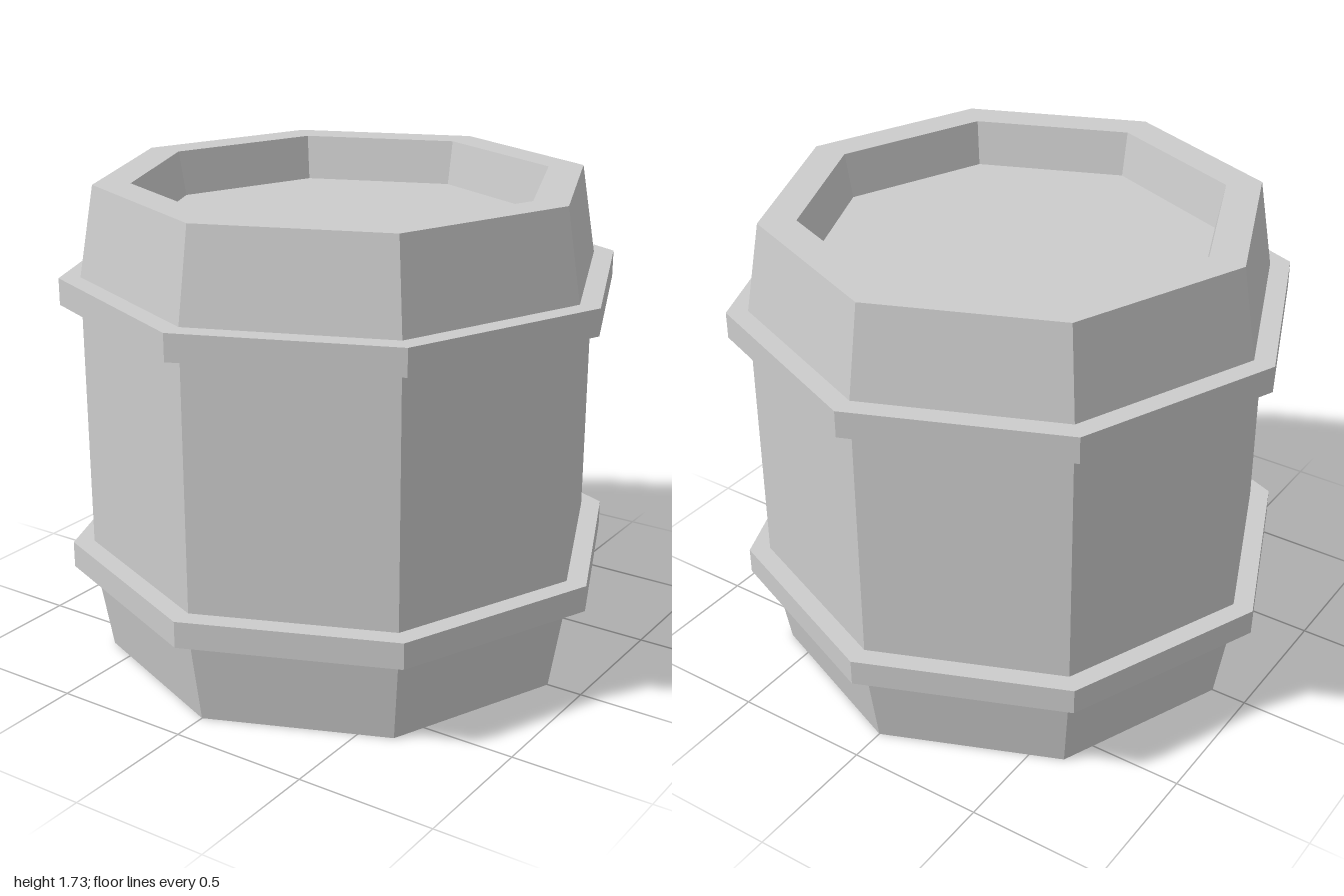
import * as THREE from 'three';

const SIDES = 8;

export function createModel() {
  const model = new THREE.Group();
  model.name = 'barrel';
  const material = new THREE.MeshStandardMaterial({ color: 0xcccccc, flatShading: true });

  // Turn a [radius, height] profile into an eight-sided part
  const turned = (name, profile) => {
    const points = profile.map(([r, y]) => new THREE.Vector2(r, y));
    const mesh = new THREE.Mesh(new THREE.LatheGeometry(points, SIDES), material);
    mesh.name = name;
    model.add(mesh);
  };

  // Staved body: base, tapered ends, rim and recessed lid
  turned('body', [
    [0, 0], [0.87, 0], [0.925, 0.325], [0.925, 1.41],
    [0.87, 1.73], [0.74, 1.73], [0.71, 1.57], [0, 1.57],
  ]);

  // Hoops at the ends of the straight section
  const hoop = (name, y0, y1) =>
    turned(name, [[0.92, y0], [1, y0], [1, y1], [0.92, y1]]);
  hoop('lowerHoop', 0.325, 0.42);
  hoop('upperHoop', 1.315, 1.41);

  return model;
}
